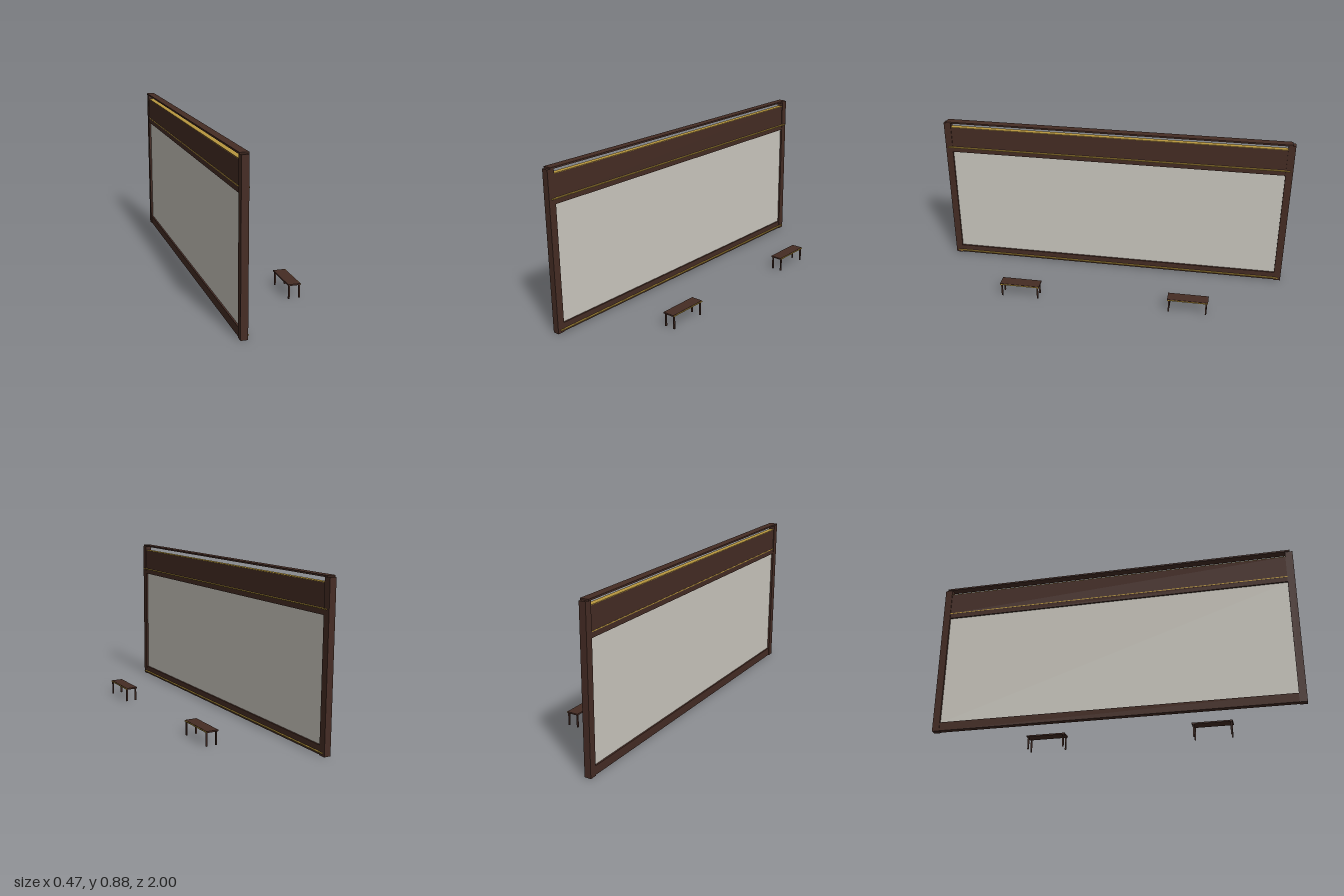
import * as THREE from 'three';

const paint = (name, color) => {
  const m = new THREE.MeshStandardMaterial({ color });
  m.name = name;
  return m;
};

export function createModel() {
  const wood = paint('darkWood', 0x452c24);
  const gold = paint('brass', 0xb8963e);
  const pane = paint('paleGlass', 0xcbc8bf);
  const model = new THREE.Group();
  model.name = 'partitionWithBenches';

  // box given by its min and max on each axis
  const box = (parent, name, mat, [x0, x1], [y0, y1], [z0, z1]) => {
    const mesh = new THREE.Mesh(new THREE.BoxGeometry(x1 - x0, y1 - y0, z1 - z0), mat);
    mesh.position.set((x0 + x1) / 2, (y0 + y1) / 2, (z0 + z1) / 2);
    mesh.name = name;
    parent.add(mesh);
  };

  // framed wall standing along z
  const wall = new THREE.Group();
  wall.name = 'wall';
  model.add(wall);
  const inner = [-0.962, 0.962];
  const outer = [-0.985, 0.985];
  box(wall, 'postFront', wood, [-0.229, -0.192], [0, 0.872], [0.96, 1]);
  box(wall, 'postBack', wood, [-0.229, -0.192], [0, 0.872], [-1, -0.96]);
  box(wall, 'topRail', wood, [-0.234, -0.188], [0.871, 0.88], outer);
  box(wall, 'bottomRail', wood, [-0.226, -0.194], [0.002, 0.05], inner);
  box(wall, 'glassPane', pane, [-0.217, -0.203], [0.05, 0.69], inner);
  box(wall, 'middleRail', wood, [-0.226, -0.194], [0.69, 0.718], inner);
  box(wall, 'headerPanel', wood, [-0.225, -0.196], [0.722, 0.843], inner);

  // brass trims
  box(wall, 'headerTrim', gold, [-0.225, -0.195], [0.843, 0.846], inner);
  box(wall, 'middleTrim', gold, [-0.2265, -0.184], [0.718, 0.723], outer);
  box(wall, 'bottomTrim', gold, [-0.2, -0.184], [0.014, 0.019], outer);

  // two benches facing the wall
  for (const side of [-1, 1]) {
    const bench = new THREE.Group();
    bench.name = side > 0 ? 'frontBench' : 'backBench';
    bench.position.set(0.197, 0, side * 0.481);
    model.add(bench);
    box(bench, 'seat', wood, [-0.035, 0.032], [0.073, 0.081], [-0.114, 0.114]);
    box(bench, 'seatTrim', gold, [0.032, 0.035], [0.074, 0.079], [-0.114, 0.114]);
    for (const x of [-0.028, 0.028])
      for (const z of [-0.104, 0.104])
        box(bench, 'leg', wood, [x - 0.004, x + 0.004], [0, 0.073], [z - 0.004, z + 0.004]);
  }
  return model;
}
